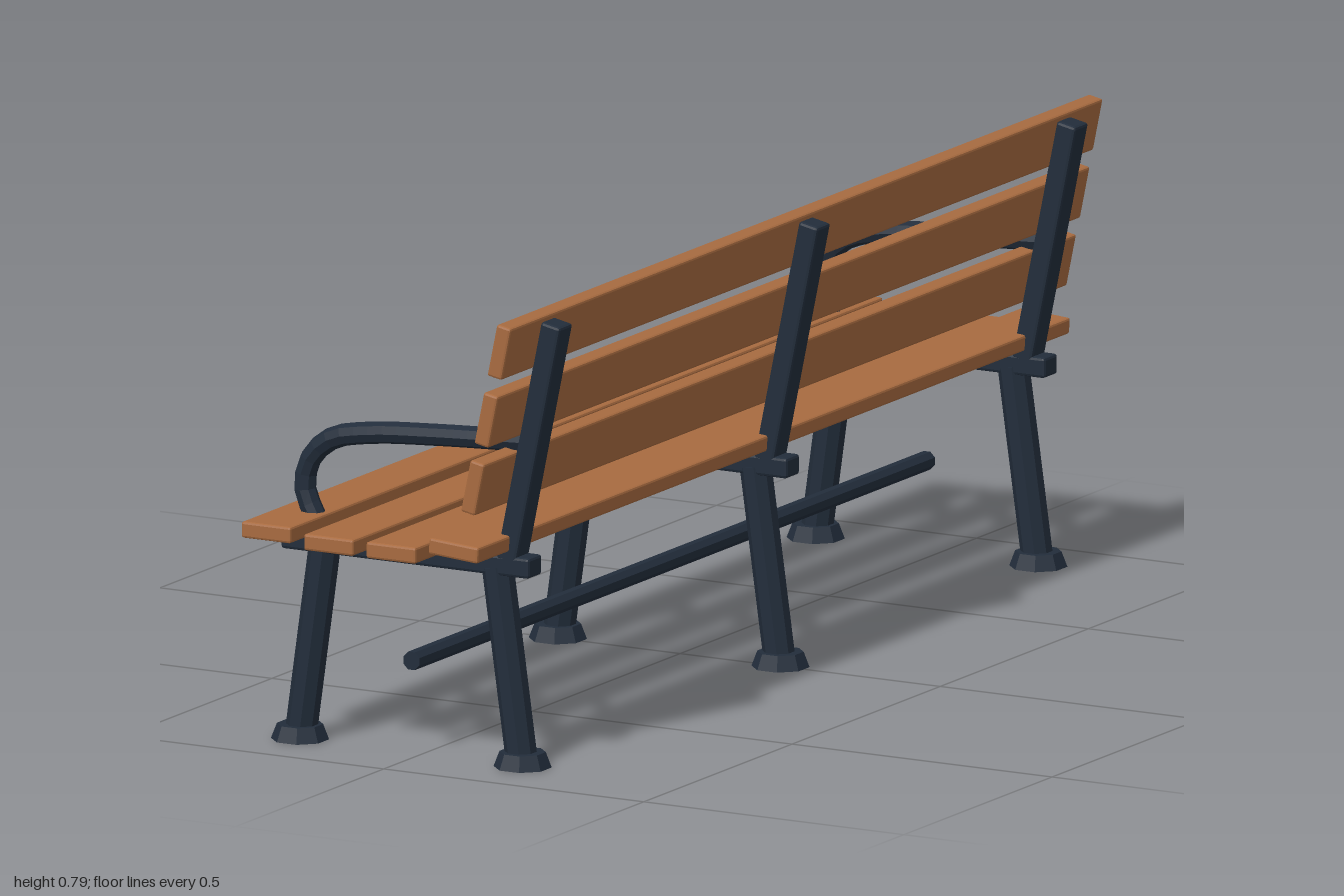
import * as THREE from 'three';
import { RoundedBoxGeometry } from 'three/addons/geometries/RoundedBoxGeometry.js';

const wood = new THREE.MeshStandardMaterial({ color: 0xa86b40, flatShading: true });
wood.name = 'wood';
const iron = new THREE.MeshStandardMaterial({ color: 0x222d3b, flatShading: true });
iron.name = 'dark iron';

const FRAME_Z = [-0.87, 0, 0.87];
const LEAN = -0.205;

export function createModel() {
  const bench = new THREE.Group();
  bench.name = 'bench';

  const add = (name, geometry, material, x, y, z, tilt = 0, parent = bench) => {
    const mesh = new THREE.Mesh(geometry, material);
    mesh.name = name;
    mesh.position.set(x, y, z);
    mesh.rotation.z = tilt;
    parent.add(mesh);
    return mesh;
  };
  // Box with chamfered edges
  const bar = (w, h, d, bevel = 0.004) => new RoundedBoxGeometry(w, h, d, 1, bevel);
  // Eight-sided rod with flats facing the axes
  const rod = (rTop, rBottom, h) => new THREE.CylinderGeometry(rTop, rBottom, h, 8).rotateY(Math.PI / 8);

  // Seat slats: x, y, tilt
  const seatSlat = bar(0.095, 0.028, 2);
  [[-0.227, 0.379, 0], [-0.107, 0.371, 0], [0.013, 0.371, 0], [0.133, 0.388, -0.075]]
    .forEach(([x, y, tilt]) => add('seatSlat', seatSlat, wood, x, y, 0, tilt));

  // Backrest slats with bolts on their front faces
  const backSlat = bar(0.028, 0.092, 2);
  const bolt = new THREE.CylinderGeometry(0.007, 0.011, 0.014, 8).rotateZ(Math.PI / 2);
  [[0.17, 0.5], [0.196, 0.619], [0.221, 0.738]].forEach(([x, y]) => {
    add('backSlat', backSlat, wood, x, y, 0, LEAN);
    FRAME_Z.forEach(z => add('bolt', bolt, iron, x - 0.0185, y + 0.004, z, LEAN));
  });

  // Support frames: rail, back post, splayed legs and feet
  const rail = bar(0.477, 0.035, 0.046, 0.005);
  const post = bar(0.038, 0.425, 0.046, 0.005);
  const leg = rod(0.027, 0.027, 0.33);
  const foot = rod(0.039, 0.049, 0.026);
  FRAME_Z.forEach(z => {
    const frame = new THREE.Group();
    frame.name = 'supportFrame';
    frame.position.z = z;
    bench.add(frame);
    add('seatRail', rail, iron, -0.021, 0.345, 0, 0, frame);
    add('backPost', post, iron, 0.2155, 0.56, 0, LEAN, frame);
    [-1, 1].forEach(side => {
      add('leg', leg, iron, -0.021 + side * 0.189, 0.176, 0, side * 0.14, frame);
      add('foot', foot, iron, -0.021 + side * 0.214, 0.013, 0, 0, frame);
    });
  });

  // Curved armrests at both ends
  const armPath = new THREE.CatmullRomCurve3([
    [-0.203, 0.38], [-0.225, 0.43], [-0.214, 0.483], [-0.172, 0.522],
    [-0.1, 0.539], [0.03, 0.55], [0.205, 0.559],
  ].map(([x, y]) => new THREE.Vector3(x, y, 0)));
  const arm = new THREE.TubeGeometry(armPath, 20, 0.019, 8, false);
  [-0.87, 0.87].forEach(z => add('armrest', arm, iron, 0, 0, z));

  // Long rod beneath the seat
  add('stretcher', rod(0.0165, 0.0165, 1.74).rotateX(Math.PI / 2), iron, -0.021, 0.157, 0);

  return bench;
}
